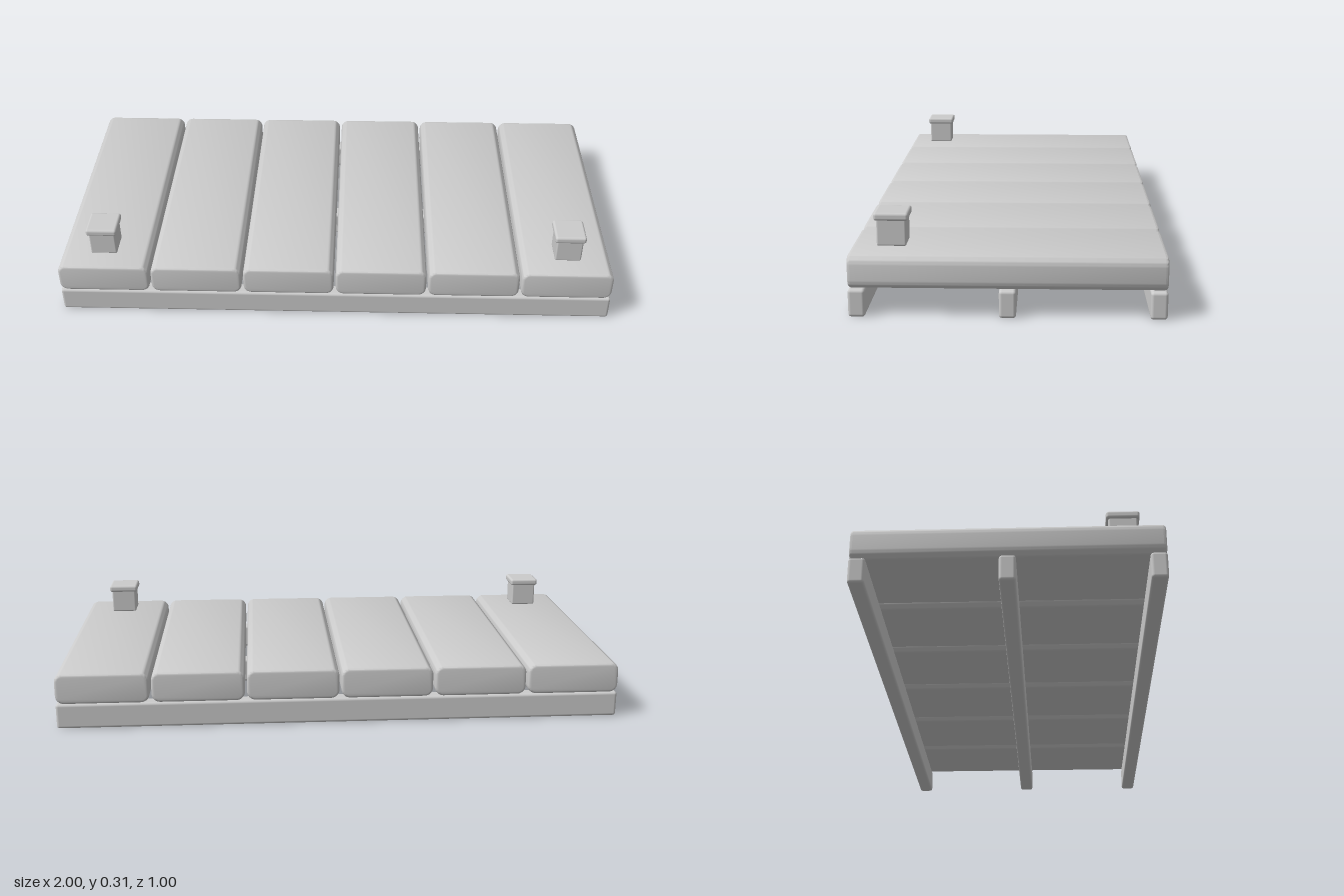
import * as THREE from 'three';
import { toCreasedNormals } from 'three/addons/utils/BufferGeometryUtils.js';
import { RoundedBoxGeometry } from 'three/addons/geometries/RoundedBoxGeometry.js';

const grey = new THREE.MeshStandardMaterial({ color: 0xcccccc });
grey.name = 'plain grey';

// Board running along z: rounded long edges, small bevel on the ends
function boardGeometry(width, height, length, radius, bevel) {
  const x = width / 2, y = height / 2, r = radius;
  const shape = new THREE.Shape();
  shape.moveTo(-x + r, -y);
  shape.lineTo(x - r, -y);
  shape.absarc(x - r, -y + r, r, -Math.PI / 2, 0);
  shape.lineTo(x, y - r);
  shape.absarc(x - r, y - r, r, 0, Math.PI / 2);
  shape.lineTo(-x + r, y);
  shape.absarc(-x + r, y - r, r, Math.PI / 2, Math.PI);
  shape.lineTo(-x, -y + r);
  shape.absarc(-x + r, -y + r, r, Math.PI, Math.PI * 1.5);
  const geometry = new THREE.ExtrudeGeometry(shape, {
    depth: length - 2 * bevel, curveSegments: 4,
    bevelThickness: bevel, bevelSize: bevel, bevelOffset: -bevel, bevelSegments: 3,
  });
  geometry.translate(0, 0, bevel - length / 2);
  return toCreasedNormals(geometry, 0.7);
}

export function createModel() {
  const model = new THREE.Group();
  model.name = 'dock';

  function add(name, geometry, x, y, z) {
    const mesh = new THREE.Mesh(geometry, grey);
    mesh.name = name;
    mesh.position.set(x, y, z);
    model.add(mesh);
  }

  // Six deck planks side by side
  const pitch = 0.3346;
  const plank = boardGeometry(0.327, 0.11, 1, 0.03, 0.01);
  for (let i = 0; i < 6; i++) add('plank' + (i + 1), plank, (i - 2.5) * pitch, 0.145, 0);

  // Three beams under the deck
  const beam = new RoundedBoxGeometry(2, 0.09, 0.054, 3, 0.01);
  add('frontBeam', beam, 0, 0.045, 0.473);
  add('middleBeam', beam, 0, 0.045, 0);
  add('backBeam', beam, 0, 0.045, -0.473);

  // Two short capped posts at the front corners
  const post = new RoundedBoxGeometry(0.095, 0.095, 0.095, 3, 0.006);
  const cap = new RoundedBoxGeometry(0.111, 0.026, 0.111, 3, 0.009);
  for (const [side, x] of [['left', 0.842], ['right', -0.842]]) {
    add(side + 'Post', post, x, 0.2475, 0.373);
    add(side + 'PostCap', cap, x, 0.297, 0.373);
  }
  return model;
}
